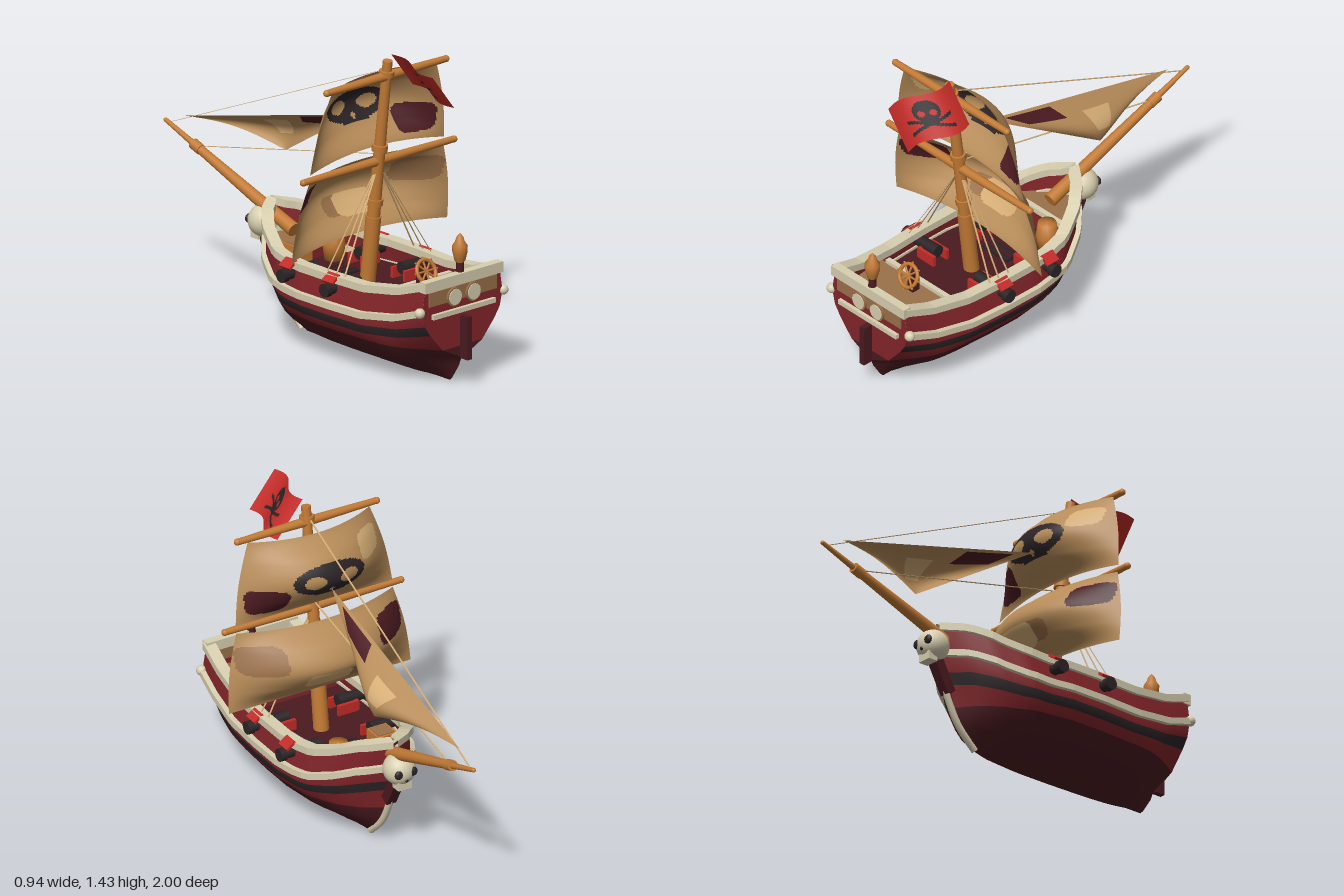
import * as THREE from 'three';

const mat = (name, color) => Object.assign(new THREE.MeshStandardMaterial({ color, side: THREE.DoubleSide }), { name });
const V = (x, y, z) => new THREE.Vector3(x, y, z);
const lerp = THREE.MathUtils.lerp;

// piecewise linear lookup in [[key, value], ...] with rising keys
function look(t, x) {
  if (x <= t[0][0]) return t[0][1];
  for (let i = 1; i < t.length; i++)
    if (x <= t[i][0]) return lerp(t[i - 1][1], t[i][1], (x - t[i - 1][0]) / (t[i][0] - t[i - 1][0]));
  return t[t.length - 1][1];
}

const SHEER = [[-.3, .13], [-.2, .1], [-.1, .05], [0, .015], [.1, 0], [.6, 0], [.8, .03], [.95, .08]];
const PLAN = [[0, .245], [.28, .288], [.45, .3], [.6, .3], [.76, .268], [.88, .185], [.95, .1], [1, 0]];
// hull rows from sheer to keel: height, sheer factor, width, stern width, bow z, stern z
const ROWS = [
  [.43, 1, .91, 1, -.3, .95], [.31, 1, .99, 1, -.285, .95], [.26, .75, 1, .92, -.265, .95],
  [.22, .65, .96, .82, -.245, .95], [.18, .1, .87, .56, -.22, .95], [.13, 0, .74, 0, -.2, .945],
  [.09, 0, .57, 0, -.175, .93], [.05, 0, .36, 0, -.14, .905], [.02, 0, .17, 0, -.1, .885], [.005, 0, 0, 0, -.06, .87]];

function hullPoint(row, u, side) {
  const [y, sf, p, s, zb, zs] = ROWS[row];
  const z = lerp(zs, zb, u), k = Math.min(u / .22, 1);
  const w = look(PLAN, u) * p * lerp(s, 1, Math.sin(k * Math.PI / 2));
  return V(side * w, y + sf * look(SHEER, z), z);
}

export function createModel() {
  const root = new THREE.Group();
  root.name = 'sailingShip';
  const red = mat('hullRed', 0x84252a), maroon = mat('darkMaroon', 0x4a1a20), black = mat('nearBlack', 0x2c2426),
    cream = mat('creamTrim', 0xd8cfb0), wood = mat('orangeWood', 0xc27a34), sail = mat('sailCloth', 0xb68b58),
    light = mat('lightPatch', 0xd4ac74), deck = mat('deckBrown', 0x9a7049), bright = mat('brightRed', 0xc42c28);

  const add = (name, geo, m, x = 0, y = 0, z = 0) => {
    const o = new THREE.Mesh(geo, m);
    o.name = name; o.position.set(x, y, z); root.add(o);
    return o;
  };
  const box = (name, m, w, h, d, x, y, z) => add(name, new THREE.BoxGeometry(w, h, d), m, x, y, z);
  const ball = (name, m, r, x, y, z) => add(name, new THREE.SphereGeometry(r, 24, 16), m, x, y, z);
  // round bar between two points
  const rod = (name, m, p, q, r0, r1 = r0) => {
    const o = add(name, new THREE.CylinderGeometry(r1, r0, p.distanceTo(q), 16), m);
    o.position.copy(p).lerp(q, .5);
    o.quaternion.setFromUnitVectors(V(0, 1, 0), q.clone().sub(p).normalize());
    return o;
  };
  // flat bar between two points, wide horizontally
  const ribbon = (name, m, p, q, w, t) => {
    const o = box(name, m, w, t, p.distanceTo(q), 0, 0, 0);
    o.position.copy(p).lerp(q, .5);
    o.lookAt(q);
    return o;
  };
  // grid surface; pick(a, b, point) chooses the material of each cell
  const surface = (name, nu, nv, fn, mats, pick = () => 0, flat = false) => {
    const pos = [], lists = mats.map(() => []);
    for (let i = 0; i <= nu; i++) for (let j = 0; j <= nv; j++) pos.push(...fn(i / nu, j / nv).toArray());
    for (let i = 0; i < nu; i++) for (let j = 0; j < nv; j++) {
      const a = (i + .5) / nu, b = (j + .5) / nv, c = i * (nv + 1) + j, d = c + nv + 1;
      lists[pick(a, b, fn(a, b))].push(c, d, c + 1, d, d + 1, c + 1);
    }
    let g = new THREE.BufferGeometry();
    g.setAttribute('position', new THREE.Float32BufferAttribute(pos, 3));
    g.setIndex(lists.flat());
    let start = 0;
    lists.forEach((l, k) => { g.addGroup(start, l.length, k); start += l.length; });
    if (flat) g = g.toNonIndexed();
    g.computeVertexNormals();
    return add(name, g, mats);
  };

  // Hull shell with painted bands, and the transom
  const n = ROWS.length - 1;
  surface('hull', 40, 2 * n, (a, b) => {
    const j = Math.round(b * 2 * n) - n;
    return hullPoint(n - Math.abs(j), a, Math.sign(j));
  }, [red, black, maroon], (a, b) => {
    const r = n - Math.abs(b * 2 * n - n);
    return r > 4 ? 2 : r > 2 && r < 3 ? 1 : 0;
  });
  surface('transom', 5, 2, (a, b) => hullPoint(Math.round(a * 5), 0, 2 * b - 1).setZ(.951),
    [red, maroon], a => (a > .8 ? 1 : 0));

  // Rails swept along the hull rows with a rectangular section
  const rail = (name, row, side, off, w, h) => surface(name, 40, 4, (a, b) => {
    const p = hullPoint(row, a, side), k = Math.round(b * 4) % 4;
    const t = hullPoint(row, Math.min(a + .01, 1), side).sub(hullPoint(row, Math.max(a - .01, 0), side));
    const out = V(-t.z, 0, t.x).normalize().multiplyScalar(side);
    p.addScaledVector(out, off + (k === 0 || k === 3 ? -w : w) / 2);
    if (p.x * side < 0) p.x = 0;
    p.y += (k < 2 ? -h : h) / 2;
    return p;
  }, [cream], undefined, true);
  for (const s of [-1, 1]) {
    rail('topRail', 0, s, -.008, .055, .035);
    rail('sideRail', 1, s, .006, .032, .03);
    ball('railScroll', cream, .024, s * .252, .39, .945);
  }
  const stem = new THREE.CatmullRomCurve3([V(0, .015, -.1), V(0, .11, -.195), V(0, .22, -.255), V(0, .3, -.285)]);
  add('stemTrim', new THREE.TubeGeometry(stem, 16, .016, 8), cream);

  // Decks
  const deckStrip = (name, m, z0, z1, y) => surface(name, 14, 2, (a, b) => {
    const z = lerp(z0, z1, a), u = (.95 - z) / 1.245;
    return V((2 * b - 1) * look(PLAN, u) * .92, y, z);
  }, [m]);
  deckStrip('mainDeck', maroon, .63, -.1, .325);
  deckStrip('quarterDeck', deck, .945, .62, .385);
  deckStrip('foreDeck', deck, -.09, -.28, .42);
  box('quarterBulkhead', red, .5, .08, .015, 0, .35, .625);
  box('quarterBeam', cream, .46, .025, .025, 0, .39, .625);
  box('foreBulkhead', red, .36, .1, .012, 0, .37, -.09);
  box('foreBeam', cream, .36, .025, .025, 0, .425, -.09);
  box('hatch', black, .16, .012, .14, 0, .331, .12);
  for (let i = 0; i < 3; i++) box('hatchBar', maroon, .16, .008, .015, 0, .339, .08 + i * .04);

  // Stern details
  box('sternRail', cream, .47, .05, .04, 0, .505, .945);
  box('sternBar', cream, .375, .022, .024, 0, .36, .957);
  box('windowPanel', deck, .41, .065, .008, 0, .442, .953);
  for (const s of [-1, 1]) {
    const ring = add('portholeRing', new THREE.CylinderGeometry(.044, .044, .016, 24), deck, s * .057, .43, .958);
    const glass = add('porthole', new THREE.CylinderGeometry(.037, .037, .02, 24), cream, s * .057, .43, .96);
    ring.rotation.x = glass.rotation.x = Math.PI / 2;
  }
  box('rudder', maroon, .028, .2, .05, 0, .23, .975);
  const lamp = [[0, .52], [.014, .52], [.014, .57], [.024, .58], [.034, .62], [.035, .65], [.022, .67], [.016, .69], [0, .71]];
  add('lantern', new THREE.LatheGeometry(lamp.map(p => new THREE.Vector2(...p)), 16), wood, 0, 0, .935);
  add('lanternBase', new THREE.CylinderGeometry(.017, .02, .06, 12), maroon, 0, .55, .935);

  // Steering wheel
  const wheel = new THREE.Group();
  wheel.name = 'steeringWheel';
  const rim = new THREE.Mesh(new THREE.TorusGeometry(.053, .009, 8, 28), wood);
  rim.name = 'wheelRim';
  wheel.add(rim);
  for (let i = 0; i < 4; i++) {
    const spoke = new THREE.Mesh(new THREE.CylinderGeometry(.005, .005, .135, 8), wood);
    spoke.name = 'wheelSpoke'; spoke.rotation.z = i * Math.PI / 4; wheel.add(spoke);
  }
  wheel.position.set(0, .475, .715); wheel.rotation.x = -.45;
  root.add(wheel);
  box('wheelPost', maroon, .035, .12, .04, 0, .44, .685);

  // Cannons with carriages and port lids
  for (const s of [-1, 1]) for (const z of [.13, .41]) {
    rod('cannon', black, V(s * .13, .385, z), V(s * .325, .385, z), .03, .024);
    rod('cannonMuzzle', black, V(s * .31, .385, z), V(s * .34, .385, z), .031);
    for (const d of [-.04, .04]) box('carriageSide', bright, .1, .05, .016, s * .16, .36, z + d);
    box('carriageBack', bright, .016, .05, .09, s * .21, .36, z);
    const lid = box('portLid', bright, .055, .012, .07, s * .295, .435, z);
    lid.rotation.z = -s * .6;
  }

  // Deck cargo
  box('crate', wood, .1, .13, .1, -.105, .39, -.02);
  box('crateLid', deck, .08, .006, .08, -.105, .456, -.02);
  const cask = [[0, 0], [.042, 0], [.052, .07], [.042, .14], [0, .14]];
  add('barrel', new THREE.LatheGeometry(cask.map(p => new THREE.Vector2(...p)), 16), wood, .12, .325, -.02);

  // Mast, leaning aft as it rises
  const mastAt = y => V(0, y, .345 + (y - .45) * .124);
  rod('mast', wood, mastAt(.3), mastAt(1.4), .033, .022);
  rod('mastFoot', wood, mastAt(.32), mastAt(.65), .036, .035);
  for (const [y, h] of [[.72, .03], [.98, .03], [1.34, .025]]) rod('mastCollar', wood, mastAt(y - h / 2), mastAt(y + h / 2), .04 - y * .004);
  for (const [y, w] of [[1.325, .36], [.915, .455]]) for (const s of [-1, 1]) {
    const c = mastAt(y), tip = V(s * w, y, c.z);
    rod('yard', wood, c, tip, .022, .015);
    ball('yardEnd', wood, .016, tip.x, tip.y, tip.z);
  }

  // Square sails with patches
  const patch = (p, x, y, hx, hy) => ((p.x - x) / hx) ** 4 + ((p.y - y) / hy) ** 4 < 1;
  const oval = (x, y, cx, cy, rx, ry) => ((x - cx) / rx) ** 2 + ((y - cy) / ry) ** 2 < 1;
  const BELLY = new THREE.SplineCurve([[0, .07], [.25, .16], [.5, .19], [.75, .13], [1, .03]].map(p => new THREE.Vector2(...p)));
  const squareSail = (name, yTop, yBot, wTop, wBot, deep, pick) => surface(name, 110, 64, (a, b) => {
    const t = 2 * a - 1, y = lerp(yTop, yBot, b), k = 1 - t * t;
    const x = t * (lerp(wTop, wBot, b) + .016 * Math.sin(Math.PI * b));
    return V(x, y + .03 * k * b, mastAt(y).z - .012 - k * (BELLY.getPoint(b).y * deep + .012));
  }, [sail, maroon, light, black, deck], pick);
  squareSail('upperSail', 1.315, .935, .315, .405, 1, (a, b, p) => {
    const x = Math.abs(p.x);
    if (patch(p, .275, 1.045, .09, .064)) return 1;
    if (patch(p, -.245, 1.21, .068, .052)) return 2;
    const eye = oval(x, p.y, .085, 1.14, .05, .032) || oval(x, p.y, 0, 1.09, .012, .014);
    const skull = oval(x, p.y, 0, 1.14, .182, .077) || (x < .075 && p.y > 1.062 && p.y < 1.1);
    return skull && !eye ? 3 : 0;
  });
  squareSail('lowerSail', .9, .53, .405, .47, 1.1, (a, b, p) =>
    patch(p, -.335, .785, .09, .062) ? 1 : patch(p, .04, .665, .11, .046) ? 2 :
      patch(p, .33, .78, .1, .064) || patch(p, -.08, .67, .06, .04) ? 4 : 0);

  // Triangular headsail
  const head = V(0, 1.09, .24), tack = V(0, .815, -.87), clew = V(.125, .755, -.34);
  surface('headSail', 80, 40, (a, b) => {
    const p = head.clone().lerp(tack, a).lerp(clew, b);
    p.x += .07 * Math.sin(Math.PI * a) * Math.sin(Math.PI * b);
    p.y += .03 * Math.sin(Math.PI * b) * a * a;
    return p;
  }, [sail, maroon, light], (a, b) =>
    a > .08 && a < .33 && b > .04 && b < .27 ? 1 : a > .45 && a < .64 && b > .22 && b < .66 ? 2 : 0);

  // Flag with a painted emblem
  surface('flag', 72, 44, (a, b) => V(
    lerp(.01, -.04, a) + b * .13 + .025 * Math.sin(a * Math.PI * 2),
    1.43 - .02 * a - .17 * b, lerp(.475, .8, a)),
  [bright, black], (a, b) => {
    const x = Math.abs(a - .5), y = b - .42;
    const skull = oval(x, y, 0, -.05, .17, .24) || (x < .1 && y > 0 && y < .24);
    const eye = oval(x, y, .075, .0, .045, .07);
    const bone = x < .29 && Math.abs(Math.abs(y - .24) - x * .5) < .035;
    return (skull && !eye) || bone ? 1 : 0;
  });

  // Bowsprit
  const sprit = z => V(0, .515 - (z + .31) * .37, z);
  rod('bowsprit', wood, sprit(-.15), sprit(-.8), .033, .02);
  rod('bowspritTip', wood, sprit(-.78), sprit(-.99), .015, .01);
  rod('bowspritCollar', wood, sprit(-.76), sprit(-.81), .025);
  ball('bowspritEnd', wood, .01, 0, .766, -.99);

  // Skull figurehead and its bracket
  ball('figureheadSkull', cream, .075, 0, .455, -.345);
  box('figureheadJaw', cream, .07, .04, .05, 0, .39, -.372);
  for (const s of [-1, 1]) {
    const eye = ball('figureheadEye', black, .022, s * .036, .458, -.405);
    eye.scale.z = .6;
  }
  ball('figureheadNose', black, .009, 0, .425, -.41);
  ribbon('figureheadBracket', maroon, V(0, .25, -.255), V(0, .39, -.33), .05, .05);

  // Rigging
  ribbon('foreStay', light, mastAt(1.36), sprit(-.97), .008, .002);
  ribbon('lowerStay', light, mastAt(.95), sprit(-.79), .008, .002);
  for (const s of [-1, 1]) for (const z of [.35, .41, .465])
    ribbon('shroud', light, V(s * .265, .44, z), mastAt(.9), .008, .002);
  return root;
}
